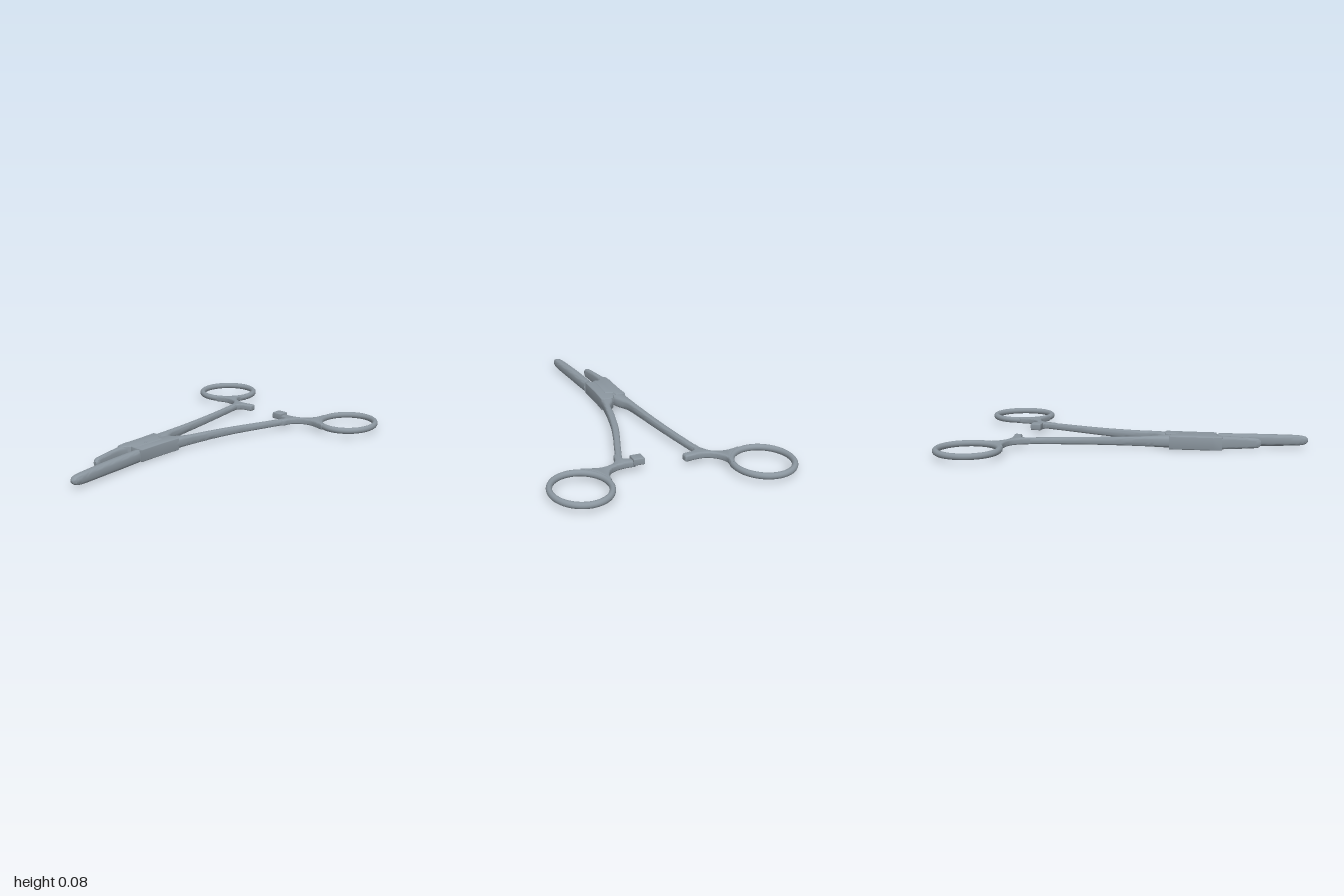
import * as THREE from 'three';
import { toCreasedNormals } from 'three/addons/utils/BufferGeometryUtils.js';

const steel = new THREE.MeshStandardMaterial({ color: 0x8b969f });
steel.name = 'brushed steel';

function add(group, name, geometry) {
  const mesh = new THREE.Mesh(geometry, steel);
  mesh.name = name;
  group.add(mesh);
}

// Bar lofted along z through stations [z, xMin, xMax, yMin, yMax]; power < 1 squares the section
function bar(stations, power = 0.7, steps = 5, sides = 20) {
  const plan = new THREE.CatmullRomCurve3(stations.map(s => new THREE.Vector3(s[0], s[1], s[2])));
  const height = new THREE.CatmullRomCurve3(stations.map(s => new THREE.Vector3(s[0], s[3], s[4])));
  const rows = (stations.length - 1) * steps;
  const pos = [], index = [];
  const bend = v => Math.sign(v) * Math.abs(v) ** power;
  for (let i = 0; i <= rows; i++) {
    const p = plan.getPoint(i / rows), h = height.getPoint(i / rows);
    for (let j = 0; j < sides; j++) {
      const a = (j / sides) * Math.PI * 2;
      pos.push((p.y + p.z) / 2 + bend(Math.cos(a)) * (p.z - p.y) / 2,
        (h.y + h.z) / 2 + bend(Math.sin(a)) * (h.z - h.y) / 2, p.x);
    }
  }
  for (let i = 0; i < rows; i++) {
    for (let j = 0; j < sides; j++) {
      const a = i * sides + j, b = i * sides + (j + 1) % sides;
      index.push(a, b, a + sides, b, b + sides, a + sides);
    }
  }
  // end caps
  const last = rows * sides;
  for (let j = 1; j < sides - 1; j++) {
    index.push(0, j + 1, j, last, last + j, last + j + 1);
  }
  const g = new THREE.BufferGeometry();
  g.setAttribute('position', new THREE.Float32BufferAttribute(pos, 3));
  g.setIndex(index);
  return toCreasedNormals(g, 0.8);
}

// Plate with a bevelled edge, drawn in plan (x, z) between two heights
function plate(points, yMin, yMax, bevel) {
  const g = new THREE.ExtrudeGeometry(new THREE.Shape(points), {
    depth: yMax - yMin - 2 * bevel, bevelEnabled: true, bevelSize: bevel,
    bevelThickness: bevel, bevelOffset: -bevel, bevelSegments: 3,
  });
  g.rotateX(Math.PI / 2).translate(0, yMax - bevel, 0);
  return toCreasedNormals(g, 0.6);
}

const vec = list => list.map(([x, z]) => new THREE.Vector2(x, z));
const smooth = list => new THREE.SplineCurve(vec(list)).getPoints(list.length * 4);

// Finger ring with the flared neck that joins it to the shank and ratchet arm
function handle(group, side, { centre: [cx, cz], rx, rz, inner, arm, outer }) {
  const ring = new THREE.TorusGeometry(0.165, 0.0165, 16, 64).rotateX(Math.PI / 2);
  ring.scale(rx / 0.165, 1.08, rz / 0.165).translate(cx, 0.042, cz);
  add(group, side + 'FingerRing', ring);
  const sign = cx < 0 ? 1 : -1;
  const arc = [];
  for (let d = 72; d >= 0; d -= 6) {
    const a = d * Math.PI / 180;
    arc.push([cx + sign * rx * Math.cos(a), cz + rz * Math.sin(a)]);
  }
  const outline = [...vec(arc), ...smooth(inner), ...vec(arm), ...smooth(outer)];
  add(group, side + 'RingNeck', plate(outline, 0.024, 0.06, 0.008));
}

export function createModel() {
  const model = new THREE.Group();
  model.name = 'lockingForceps';

  handle(model, 'right', {
    centre: [-0.488, -0.812], rx: 0.162, rz: 0.172,
    inner: [[-0.313, -0.79], [-0.322, -0.73], [-0.29, -0.675], [-0.235, -0.645], [-0.18, -0.644]],
    arm: [[-0.13, -0.652], [-0.121, -0.647], [-0.119, -0.616], [-0.126, -0.608], [-0.17, -0.602]],
    outer: [[-0.195, -0.592], [-0.204, -0.565], [-0.201, -0.53], [-0.229, -0.53],
      [-0.243, -0.58], [-0.28, -0.63], [-0.34, -0.65], [-0.39, -0.645], [-0.43, -0.632]],
  });
  handle(model, 'left', {
    centre: [0.494, -0.772], rx: 0.155, rz: 0.174,
    inner: [[0.324, -0.75], [0.318, -0.7], [0.29, -0.65], [0.245, -0.622], [0.2, -0.613]],
    arm: [[0.14, -0.613], [0.14, -0.57], [0.175, -0.565]],
    outer: [[0.192, -0.556], [0.196, -0.535], [0.185, -0.5], [0.222, -0.5],
      [0.238, -0.56], [0.275, -0.6], [0.335, -0.616], [0.385, -0.606], [0.435, -0.59]],
  });

  // ratchet catch on the end of the left arm
  add(model, 'ratchetCatch', plate(vec([[0.095, -0.62], [0.156, -0.62], [0.156, -0.56], [0.095, -0.56]]),
    0.035, 0.073, 0.005));

  // shanks
  add(model, 'rightShank', bar([
    [-0.58, -0.24, -0.204, 0.024, 0.06], [-0.4, -0.207, -0.17, 0.023, 0.061],
    [-0.2, -0.174, -0.136, 0.021, 0.063], [0, -0.147, -0.107, 0.017, 0.066],
    [0.12, -0.131, -0.087, 0.013, 0.07], [0.2, -0.125, -0.048, 0.008, 0.073],
    [0.26, -0.118, -0.03, 0.006, 0.074]], 0.6));
  add(model, 'leftShank', bar([
    [-0.57, 0.2, 0.238, 0.024, 0.06], [-0.4, 0.145, 0.183, 0.023, 0.061],
    [-0.2, 0.08, 0.12, 0.021, 0.063], [-0.08, 0.05, 0.09, 0.019, 0.065],
    [0.03, 0.027, 0.068, 0.016, 0.067], [0.12, 0.012, 0.052, 0.013, 0.07],
    [0.2, -0.033, 0.042, 0.008, 0.073], [0.28, -0.03, 0.038, 0.006, 0.073]], 0.6));

  // box lock, with the second arm passing through slightly lower
  add(model, 'boxLockOuter', plate(vec([[-0.122, 0.235], [-0.062, 0.235], [-0.055, 0.265], [-0.01, 0.28],
    [-0.01, 0.49], [-0.04, 0.488], [-0.053, 0.505], [-0.06, 0.53], [-0.1, 0.53], [-0.109, 0.48], [-0.113, 0.35]]),
    0, 0.078, 0.006));
  add(model, 'boxLockInner', plate(vec([[-0.035, 0.205], [0.0, 0.19], [0.041, 0.2], [0.038, 0.32], [0.043, 0.485],
    [-0.03, 0.485], [-0.06, 0.27]]), 0.003, 0.0745, 0.005));
  add(model, 'lockPivot', new THREE.CylinderGeometry(0.012, 0.012, 0.078, 24).translate(-0.035, 0.0395, 0.38));

  // jaws
  add(model, 'shortJaw', bar([
    [0.49, -0.107, -0.05, 0.004, 0.076], [0.55, -0.094, -0.053, 0.006, 0.075],
    [0.62, -0.08, -0.046, 0.008, 0.073], [0.69, -0.069, -0.037, 0.011, 0.069],
    [0.728, -0.064, -0.031, 0.016, 0.064], [0.742, -0.055, -0.035, 0.028, 0.052]], 0.55));
  add(model, 'longJaw', bar([
    [0.5, -0.003, 0.047, 0.004, 0.073], [0.6, 0.004, 0.059, 0.004, 0.073],
    [0.75, 0.019, 0.074, 0.006, 0.072], [0.87, 0.034, 0.087, 0.008, 0.07],
    [0.95, 0.045, 0.094, 0.011, 0.067], [0.985, 0.052, 0.092, 0.019, 0.06],
    [1, 0.064, 0.081, 0.033, 0.047]], 0.7));
  add(model, 'longJawRoot', new THREE.BoxGeometry(0.028, 0.058, 0.04).translate(0.02, 0.038, 0.49));

  return model;
}
